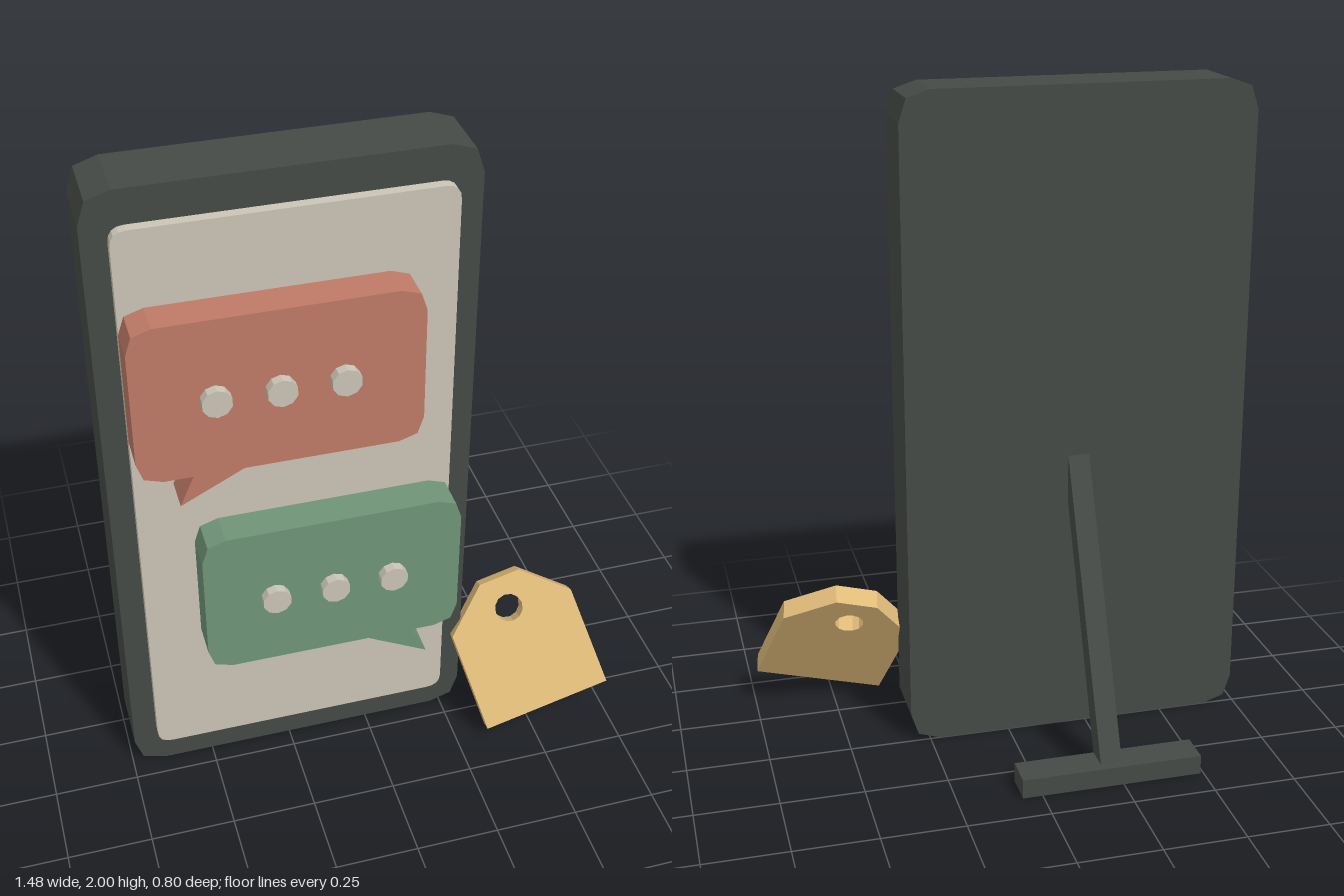
import * as THREE from 'three';

const mat = (name, color) => {
  const m = new THREE.MeshStandardMaterial({ color });
  m.name = name;
  return m;
};

// Rounded rectangle outline, with an optional tail [x, y] points along the bottom edge (left to right)
function roundedRect(x0, x1, y0, y1, r, tail = []) {
  const s = new THREE.Shape();
  s.moveTo(x0 + r, y0);
  tail.forEach(([x, y]) => s.lineTo(x, y));
  s.lineTo(x1 - r, y0);
  s.quadraticCurveTo(x1, y0, x1, y0 + r);
  s.lineTo(x1, y1 - r);
  s.quadraticCurveTo(x1, y1, x1 - r, y1);
  s.lineTo(x0 + r, y1);
  s.quadraticCurveTo(x0, y1, x0, y1 - r);
  s.lineTo(x0, y0 + r);
  s.quadraticCurveTo(x0, y0, x0 + r, y0);
  return s;
}

const slab = (shape, depth, curveSegments = 2) =>
  new THREE.ExtrudeGeometry(shape, { depth, curveSegments, bevelEnabled: false });

export function createModel() {
  const group = new THREE.Group();
  const charcoal = mat('charcoal', 0x454a46);
  const cream = mat('cream', 0xcac4b4);
  const coral = mat('coral', 0xbe7a66);
  const green = mat('sage green', 0x6f9477);
  const gold = mat('gold', 0xdfba79);

  const add = (name, geometry, material, x = 0, y = 0, z = 0) => {
    const mesh = new THREE.Mesh(geometry, material);
    mesh.name = name;
    mesh.position.set(x, y, z);
    group.add(mesh);
    return mesh;
  };

  // Phone body and screen
  add('phoneBody', slab(roundedRect(-0.74, 0.31, 0, 2, 0.09), 0.19), charcoal);
  add('screen', slab(roundedRect(-0.67, 0.24, 0.1, 1.9, 0.045), 0.035, 4), cream, 0, 0, 0.185);

  // Speech bubbles with three raised dots each
  const bubbles = [
    { name: 'upperBubble', box: [-0.67, 0.122, 1.19, 1.673], material: coral, dotX: -0.275, dotY: 1.432,
      tail: [[-0.52, 1.19], [-0.56, 1.098], [-0.38, 1.19]] },
    { name: 'lowerBubble', box: [-0.513, 0.245, 0.47, 0.948], material: green, dotX: -0.135, dotY: 0.71,
      tail: [[-0.03, 0.47], [0.152, 0.373], [0.1, 0.47]] },
  ];
  for (const b of bubbles) {
    add(b.name, slab(roundedRect(...b.box, 0.07, b.tail), 0.105), b.material, 0, 0, 0.217);
    for (const i of [-1, 0, 1]) {
      const dot = new THREE.CylinderGeometry(0.042, 0.042, 0.035, 10).rotateX(Math.PI / 2).toNonIndexed();
      dot.computeVertexNormals();
      add(b.name + 'Dot', dot, cream, b.dotX + i * 0.174, b.dotY, 0.3325);
    }
  }

  // Rear stand: sloping leg (side profile swept across x) and crossbar foot
  const profile = new THREE.Shape([[0, 0.9], [0, 0.76], [0.305, 0.05], [0.38, 0.05]]
    .map(([x, y]) => new THREE.Vector2(x, y)));
  add('standLeg', slab(profile, 0.065).rotateY(Math.PI / 2), charcoal, -0.25, 0, 0);
  add('standFoot', new THREE.BoxGeometry(0.55, 0.06, 0.1), charcoal, -0.215, 0.03, -0.352);

  // Leaning tag with a hole; its front bottom edge is the local origin
  const tagShape = new THREE.Shape([[-0.203, 0], [0.203, 0], [0.198, 0.318], [0.065, 0.44],
    [-0.065, 0.44], [-0.203, 0.318]].map(([x, y]) => new THREE.Vector2(x, y)));
  tagShape.holes.push(new THREE.Path().absarc(-0.005, 0.338, 0.044, 0, Math.PI * 2, true));
  const tag = add('tag', slab(tagShape, 0.063, 6).translate(0, 0, -0.063), gold, 0.538, 0.102, 0.4);
  tag.rotation.set(-0.56, 0, 0.262, 'ZYX');

  return group;
}
